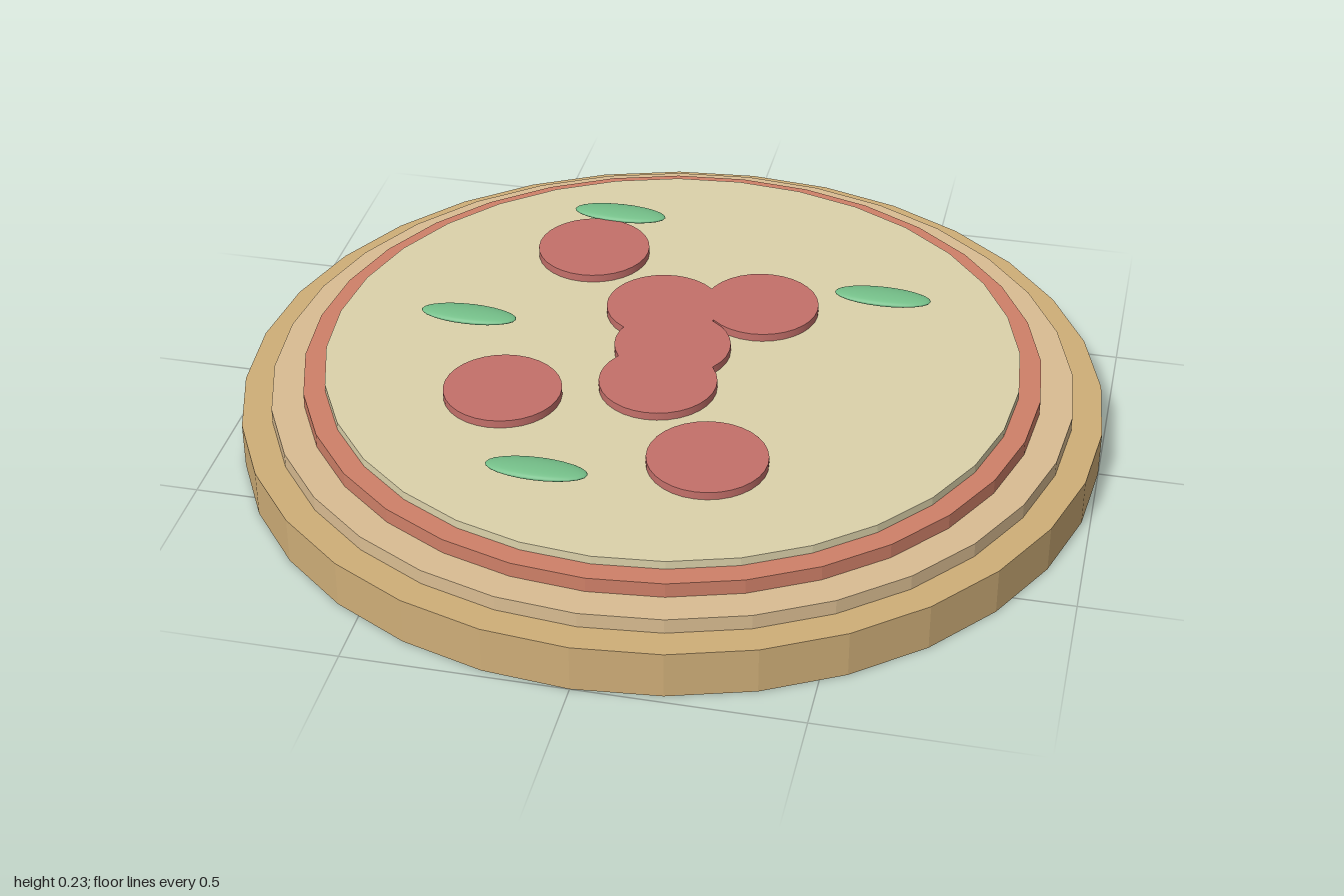
import * as THREE from 'three';

export function createModel() {
  const pizza = new THREE.Group();
  pizza.name = 'pizza';
  const paint = (color, flatShading = false) => new THREE.MeshStandardMaterial({ color, flatShading });

  // Upright disc from height y0 to y1
  function disc(name, radius, y0, y1, material, x = 0, z = 0) {
    const mesh = new THREE.Mesh(new THREE.CylinderGeometry(radius, radius, y1 - y0, 32), material);
    mesh.name = name;
    mesh.position.set(x, (y0 + y1) / 2, z);
    pizza.add(mesh);
  }

  // Stacked layers, each narrower than the one below
  disc('crust', 1, 0, 0.11, paint(0xcfae78, true));
  disc('dough', 0.93, 0.105, 0.145, paint(0xdabd92, true));
  disc('sauce', 0.855, 0.14, 0.18, paint(0xcf8068, true));
  disc('cheese', 0.805, 0.175, 0.2, paint(0xdcd2aa, true));

  // Pepperoni slices
  const pepperoni = paint(0xc4706a);
  const slices = [
    [0, 0], [-0.28, -0.385], [-0.056, -0.16], [0.169, -0.214],
    [0, 0.155], [-0.337, 0.26], [0.171, 0.426],
  ];
  for (const [x, z] of slices) disc('pepperoniSlice', 0.135, 0.194, 0.219, pepperoni, x, z);

  // Basil leaves: flattened ellipsoids
  const basil = paint(0x74be88);
  const leafGeometry = new THREE.SphereGeometry(1, 24, 16);
  leafGeometry.scale(0.115, 0.012, 0.04);
  for (const [x, z] of [[-0.254, -0.554], [0.445, -0.305], [-0.495, -0.021], [-0.182, 0.552]]) {
    const leaf = new THREE.Mesh(leafGeometry, basil);
    leaf.name = 'basilLeaf';
    leaf.position.set(x, 0.22, z);
    pizza.add(leaf);
  }
  return pizza;
}
